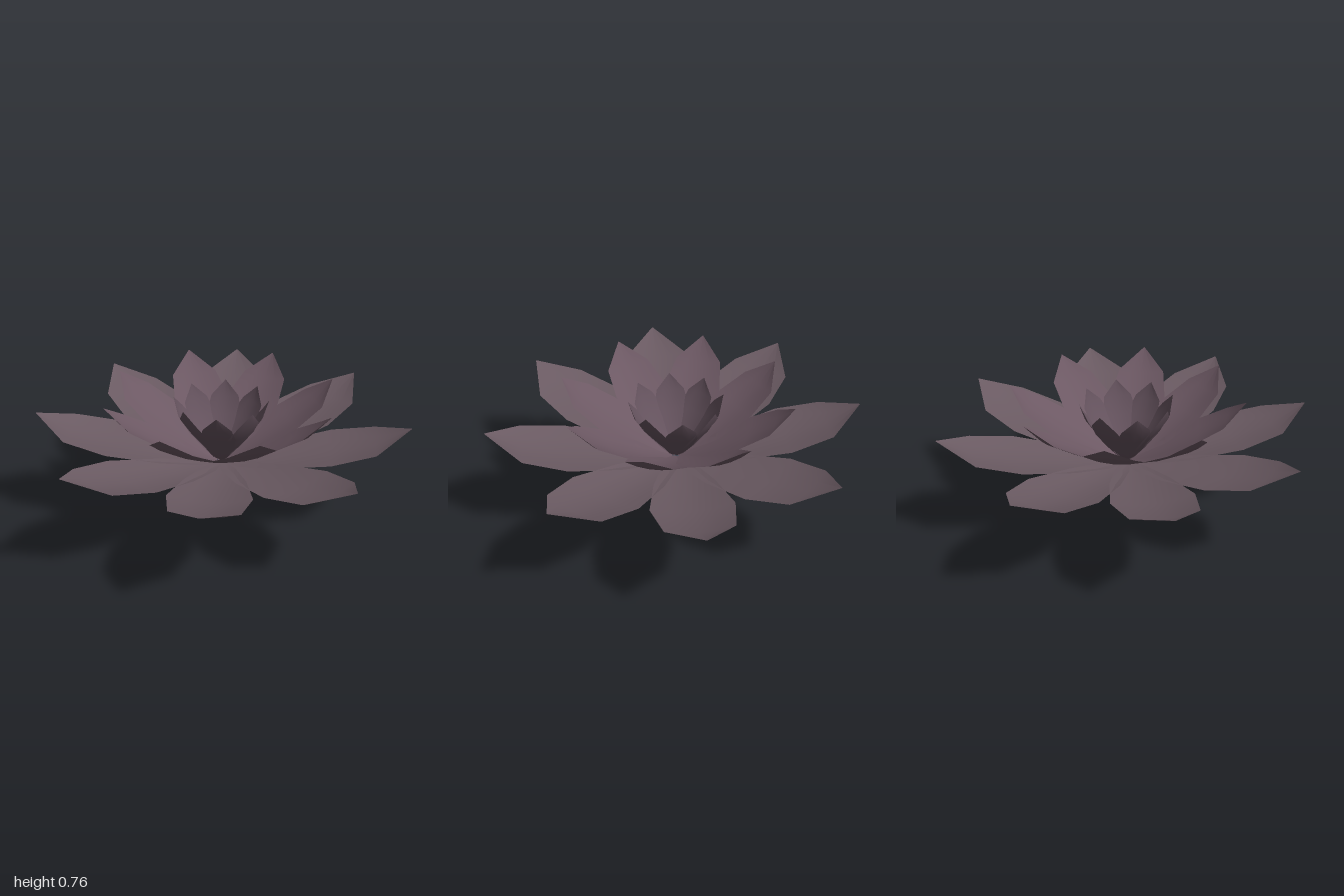
import * as THREE from 'three';

// Petal stations from base to tip: distance out, height, half width, edge lift
const STATIONS = [
  [0.02, 0, 0.03, 0],
  [0.11, 0.004, 0.09, 0.005],
  [0.32, 0.027, 0.165, 0.022],
  [0.61, 0.075, 0.222, 0.035],
  [0.85, 0.135, 0.18, 0.026],
  [1.04, 0.245, 0.002, 0],
];

// One cupped petal pointing along +x
function petalGeometry() {
  const rows = STATIONS.length - 1;
  const geo = new THREE.PlaneGeometry(2, 1, 4, rows);
  const pos = geo.attributes.position;
  for (let i = 0; i < pos.count; i++) {
    const [out, height, half, lift] = STATIONS[Math.round((pos.getY(i) + 0.5) * rows)];
    const side = pos.getX(i);
    pos.setXYZ(i, out, height + lift * side * side, half * side);
  }
  geo.computeVertexNormals();
  return geo;
}

export function createModel() {
  const model = new THREE.Group();
  model.name = 'waterLily';
  const petal = petalGeometry();

  // Three rings of eight petals: each ring smaller and more upright
  const rings = [
    { name: 'outerPetal', size: 1, tilt: 0, turn: 16.6, y: 0.345, color: 0x6a5a62 },
    { name: 'middlePetal', size: 0.72, tilt: 19, turn: -6.1, y: 0.345, color: 0x6c5863 },
    { name: 'innerPetal', size: 0.43, tilt: 42, turn: 16.6, y: 0.345, color: 0x64525d },
  ];
  for (const ring of rings) {
    const material = new THREE.MeshStandardMaterial({ color: ring.color, side: THREE.DoubleSide });
    const group = new THREE.Group();
    group.name = ring.name + 'Ring';
    group.position.y = ring.y;
    for (let i = 0; i < 8; i++) {
      const mesh = new THREE.Mesh(petal, material);
      mesh.name = ring.name;
      mesh.scale.setScalar(ring.size);
      mesh.rotation.set(0, -THREE.MathUtils.degToRad(ring.turn + i * 45), THREE.MathUtils.degToRad(ring.tilt));
      group.add(mesh);
    }
    model.add(group);
  }

  // Stem tapering down to a point
  const stem = new THREE.Mesh(
    new THREE.CylinderGeometry(0.025, 0.001, 0.355, 8, 1, true),
    new THREE.MeshStandardMaterial({ color: 0x2c5b70, side: THREE.DoubleSide })
  );
  stem.name = 'stem';
  stem.position.y = 0.1775;
  model.add(stem);

  return model;
}
